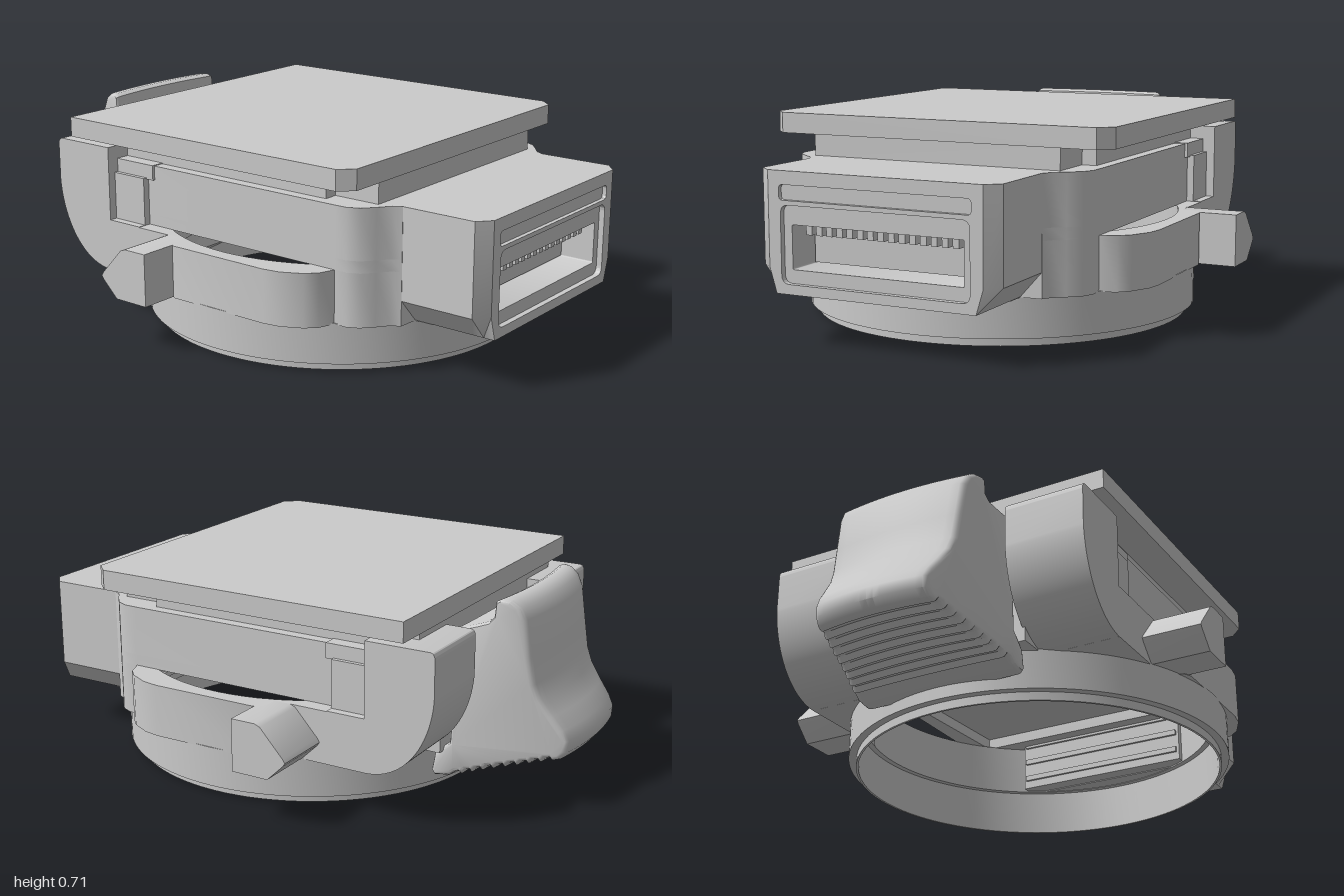
import * as THREE from 'three';
import { toCreasedNormals } from 'three/addons/utils/BufferGeometryUtils.js';

export function createModel() {
  const group = new THREE.Group();
  const mat = new THREE.MeshStandardMaterial({ color: 0xcccccc });
  const RING_Z = 0.115;

  const add = (name, geo) => {
    const mesh = new THREE.Mesh(toCreasedNormals(geo, 0.6), mat);
    mesh.name = name;
    group.add(mesh);
  };
  const box = (name, x0, x1, y0, y1, z0, z1) =>
    add(name, new THREE.BoxGeometry(x1 - x0, y1 - y0, z1 - z0)
      .translate((x0 + x1) / 2, (y0 + y1) / 2, (z0 + z1) / 2));
  const poly = (pts) => new THREE.Shape(pts.map(([a, b]) => new THREE.Vector2(a, b)));
  // closes a half outline (x >= 0) by mirroring it across x = 0
  const mirrored = (half) => poly([...half, ...half.map(([x, y]) => [-x, y]).reverse()]);
  const extrude = (shape, depth, options = {}) =>
    new THREE.ExtrudeGeometry(shape, { depth, bevelEnabled: false, curveSegments: 40, ...options });
  // plan outline (x, z) raised from y0 to y1
  const plan = (shape, y0, y1) => extrude(shape, y1 - y0).rotateX(Math.PI / 2).translate(0, y1, 0);
  // side profile (z, y) spanning x0 to x1
  const side = (shape, x0, x1, options) =>
    extrude(shape, x1 - x0, options).rotateY(-Math.PI / 2).translate(x1, 0, 0);
  const roundRect = (hw, y0, y1, r) => {
    const s = new THREE.Shape();
    s.moveTo(-hw + r, y0).lineTo(hw - r, y0).quadraticCurveTo(hw, y0, hw, y0 + r);
    s.lineTo(hw, y1 - r).quadraticCurveTo(hw, y1, hw - r, y1);
    s.lineTo(-hw + r, y1).quadraticCurveTo(-hw, y1, -hw, y1 - r);
    s.lineTo(-hw, y0 + r).quadraticCurveTo(-hw, y0, -hw + r, y0);
    return s;
  };

  // thin open mounting ring with a stepped lower lip
  const ringProfile = [[0.652, 0.17], [0.652, 0], [0.66, 0], [0.66, 0.03], [0.688, 0.03], [0.688, 0.17], [0.652, 0.17]];
  add('mountingRing', new THREE.LatheGeometry(ringProfile.map(([r, y]) => new THREE.Vector2(r, y)), 96)
    .translate(0, 0, RING_Z));

  // lower body, bored out above the ring
  const shoulder = [[0.55, 0.515], [0.548, 0.56], [0.53, 0.6], [0.49, 0.635], [0.45, 0.665], [0.433, 0.695],
    [0.36, 0.7], [0.36, 0.77]];
  const lower = mirrored([[0.33, -0.575], [0.33, -0.45], [0.605, -0.45], [0.605, -0.1], [0.64, -0.1],
    [0.67, -0.09], [0.685, -0.06], [0.685, 0.33], [0.675, 0.39], [0.64, 0.46], [0.605, 0.495], ...shoulder]);
  lower.holes.push(new THREE.Path().absarc(0, RING_Z, 0.63, 0, Math.PI * 2, true));
  add('lowerBody', plan(lower, 0.165, 0.35));

  // upper body: hollow walls under a solid deck, with front shoulders
  const upper = [[0.55, -0.46], ...shoulder];
  const walls = mirrored(upper);
  walls.holes.push(mirrored([[0.53, 0.56], [0.47, 0.625], [0.47, 0.63], [0.53, -0.44]].filter(([, z]) => z !== 0.625)));
  add('upperWalls', plan(walls, 0.349, 0.39));
  add('upperDeck', plan(mirrored(upper), 0.39, 0.565));
  box('rearDeck', -0.605, 0.605, 0.34, 0.352, -0.575, -0.3);

  // front connector housing: chamfered lower edges and front corners
  const front = mirrored([[0.36, 0.167], [0.432, 0.25], [0.432, 0.565]]);
  front.holes.push(roundRect(0.34, 0.2, 0.455, 0.03), roundRect(0.345, 0.47, 0.52, 0.015));
  const housing = extrude(front, 0.32, { steps: 8 }).translate(0, 0, 0.68);
  const hp = housing.attributes.position;
  for (let i = 0; i < hp.count; i++) {
    if (hp.getZ(i) > 0.98) hp.setX(i, THREE.MathUtils.clamp(hp.getX(i), -0.385, 0.385));
  }
  add('connectorHousing', housing);
  box('frontRecess', -0.345, 0.345, 0.47, 0.52, 0.7, 0.985);

  // socket insert with slot and contact teeth
  const insert = roundRect(0.34, 0.2, 0.455, 0.03);
  insert.holes.push(roundRect(0.31, 0.245, 0.39, 0.005));
  add('socketInsert', extrude(insert, 0.24).translate(0, 0, 0.74));
  box('socketTongue', -0.305, 0.305, 0.25, 0.355, 0.74, 0.86);
  for (let i = 0; i < 15; i++) {
    const x = -0.266 + i * 0.038;
    box('contactTooth', x - 0.011, x + 0.011, 0.355, 0.39, 0.74, 0.95);
  }
  // back of the socket, visible inside the ring
  box('socketBack', -0.34, 0.34, 0.17, 0.395, 0.62, 0.75);
  for (const y of [0.2, 0.27, 0.34]) box('socketRib', -0.33, 0.33, y, y + 0.02, 0.61, 0.63);

  // neck and top plate
  box('neck', -0.46, 0.46, 0.56, 0.645, -0.585, 0.62);
  box('neckRail', -0.51, 0.51, 0.56, 0.645, -0.585, 0.45);
  add('topPlate', plan(mirrored([[0.632, -0.593], [0.632, 0.58], [0.587, 0.628]]), 0.638, 0.708));

  // hinge knuckles, corner posts and side pegs on both sides
  const knuckle = new THREE.Shape();
  knuckle.moveTo(-0.44, 0.165);
  knuckle.lineTo(-0.44, 0.615).lineTo(-0.67, 0.615).quadraticCurveTo(-0.69, 0.615, -0.69, 0.59);
  knuckle.lineTo(-0.69, 0.46).bezierCurveTo(-0.68, 0.31, -0.59, 0.165, -0.44, 0.165);
  const peg = poly([[-0.07, 0.167], [-0.07, 0.35], [-0.16, 0.35], [-0.18, 0.342], [-0.265, 0.25],
    [-0.273, 0.237], [-0.265, 0.225], [-0.205, 0.167]]);
  for (const s of [-1, 1]) {
    const span = (a, b) => (s > 0 ? [a, b] : [-b, -a]);
    add('hingeKnuckle', side(knuckle, ...span(0.32, 0.605)));
    box('cornerPost', ...span(0.5, 0.575), 0.34, 0.52, -0.45, -0.3);
    box('postCap', ...span(0.5, 0.56), 0.515, 0.568, -0.45, -0.27);
    add('sidePeg', side(peg, ...span(0.6, 0.815)));
  }

  // release latch: curved lever with rounded sides and finger ridges underneath
  const latchPts = [[-0.6, 0.2], [-0.62, 0.6], [-0.68, 0.615], [-0.73, 0.63], [-0.748, 0.65], [-0.752, 0.7],
    [-0.77, 0.709], [-0.8, 0.706], [-0.83, 0.685], [-0.85, 0.645], [-0.87, 0.52], [-0.885, 0.43], [-0.905, 0.38],
    [-0.945, 0.325], [-0.98, 0.28], [-0.998, 0.245], [-0.995, 0.205], [-0.975, 0.18]];
  for (let i = 0; i < 9; i++) {
    const z = -0.95 + i * 0.038, y = 0.172 - i * 0.0105;
    latchPts.push([z, y], [z + 0.008, y + 0.01], [z + 0.022, y + 0.007]);
  }
  latchPts.push([-0.6, 0.077], [-0.54, 0.068], [-0.528, 0.085], [-0.54, 0.15]);
  const latch = side(poly(latchPts), -0.93, 0.93, {
    steps: 16, bevelEnabled: true, bevelThickness: 0.07, bevelSize: 0.014, bevelOffset: -0.014, bevelSegments: 3,
  });
  const lp = latch.attributes.position;
  for (let i = 0; i < lp.count; i++) {
    const t = lp.getX(i), z = lp.getZ(i);
    lp.setX(i, t * Math.min(0.305, 0.31 + (z + 0.6) * 0.25));
    lp.setZ(i, z + 0.022 * t * t * THREE.MathUtils.clamp((-0.55 - z) * 5, 0, 1));
  }
  add('releaseLatch', latch);

  return group;
}
